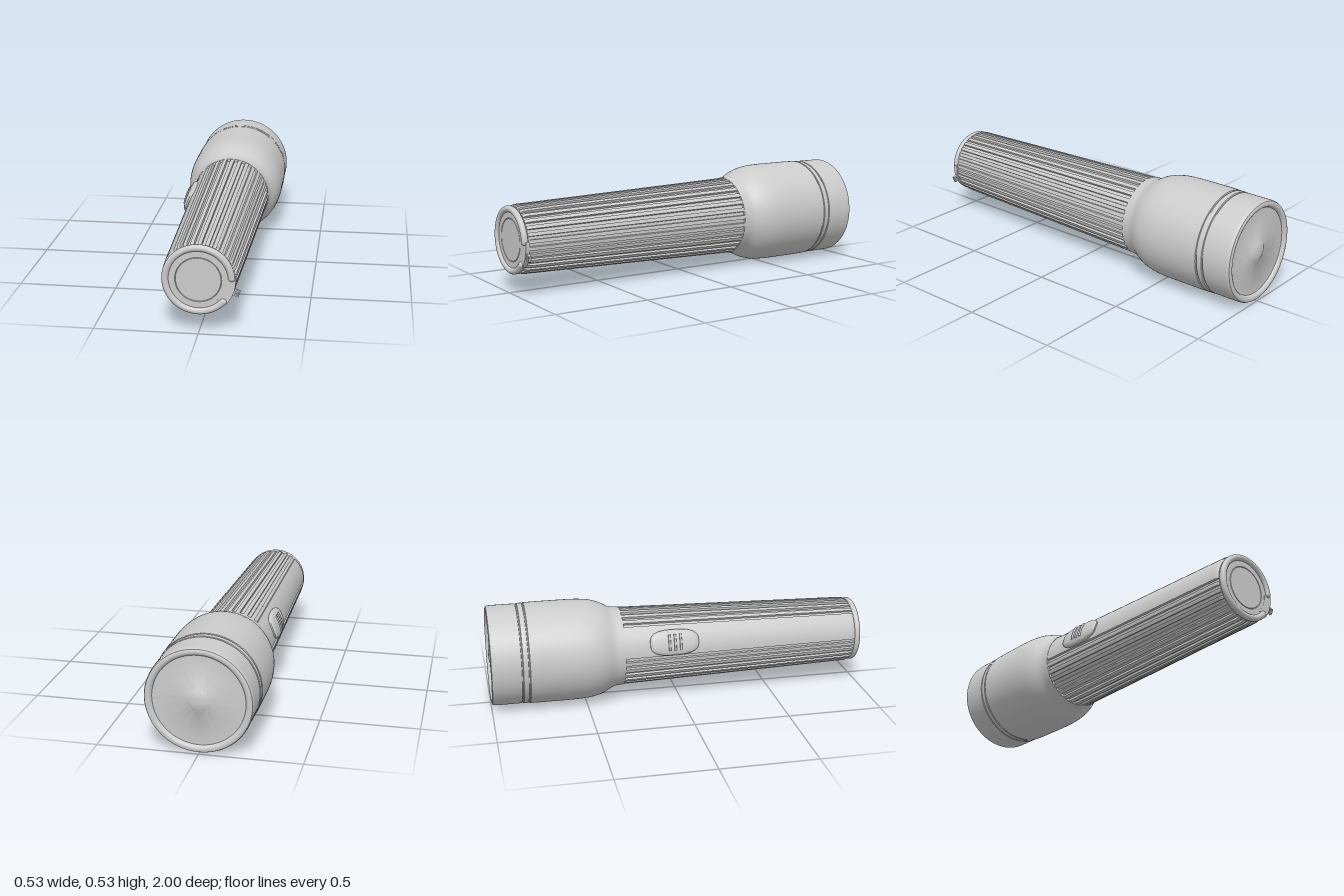
import * as THREE from 'three';
import { toCreasedNormals } from 'three/addons/utils/BufferGeometryUtils.js';
import { ParametricGeometry } from 'three/addons/geometries/ParametricGeometry.js';

const rad = THREE.MathUtils.degToRad;
const material = new THREE.MeshStandardMaterial({ color: 0xcccccc, side: THREE.DoubleSide });

// Handle radius along its taper
const handleRadius = (z) => 0.2073 - (z + 0.3) * 0.0253;

function part(name, geometry) {
  const mesh = new THREE.Mesh(geometry, material);
  mesh.name = name;
  return mesh;
}

// Lathe around the z axis from [radius, z] pairs, ordered from the lens to the tail
function turned(name, pairs, segments = 96) {
  const g = new THREE.LatheGeometry(pairs.map(([r, z]) => new THREE.Vector2(r, z)), segments);
  g.rotateX(Math.PI / 2);
  return part(name, toCreasedNormals(g, 0.6));
}

// Tapered grip with raised ribs, and a plain strip under the switch
function gripGeometry() {
  const outline = [];
  const ribs = 27, stripStart = 138, stripEnd = 180;
  const pitch = (360 - (stripEnd - stripStart)) / ribs;
  for (let i = 0; i < ribs; i++) {
    const a = stripEnd + i * pitch;
    outline.push([a, 0], [a + pitch * 0.04, 0.012], [a + pitch * 0.46, 0.012],
      [a + pitch * 0.5, 0], [a + pitch * 0.75, 0]);
  }
  for (let i = 0; i < 8; i++) outline.push([stripStart + i * (stripEnd - stripStart) / 8, 0]);

  const sections = [[-0.31, 0], [0.945, 0], [0.96, 0.003], [0.967, 0.008]];
  const n = outline.length, positions = [], index = [];
  for (const [z, inset] of sections) {
    for (const [a, depth] of outline) {
      const r = handleRadius(z) - Math.max(depth, inset);
      positions.push(r * Math.cos(rad(a)), r * Math.sin(rad(a)), z);
    }
  }
  for (let s = 0; s < sections.length - 1; s++) {
    for (let i = 0; i < n; i++) {
      const a = s * n + i, b = s * n + (i + 1) % n;
      index.push(a, b, b + n, a, b + n, a + n);
    }
  }
  // Close the tail end
  const last = (sections.length - 1) * n;
  positions.push(0, 0, 0.967);
  for (let i = 0; i < n; i++) index.push(last + i, last + (i + 1) % n, last + n);
  const g = new THREE.BufferGeometry();
  g.setAttribute('position', new THREE.Float32BufferAttribute(positions, 3));
  g.setIndex(index);
  return toCreasedNormals(g, 0.5);
}

// Rounded pad wrapped onto the handle: [scale, height] steps from rim to middle
function switchPadGeometry() {
  const steps = [[1, -0.01], [1, 0.007], [0.97, 0.012], [0.9, 0.016], [0.78, 0.019],
    [0.6, 0.021], [0.4, 0.022], [0.2, 0.022], [0.001, 0.022]];
  const power = (c) => Math.sign(c) * Math.pow(Math.abs(c), 0.7);
  const g = new ParametricGeometry((u, v, target) => {
    const [scale, height] = steps[Math.round(v * (steps.length - 1))];
    const t = u * Math.PI * 2;
    const z = -0.04 + 0.13 * scale * power(Math.sin(t));
    const a = rad(160 + 19 * scale * power(Math.cos(t)));
    const r = handleRadius(z) + height;
    target.set(r * Math.cos(a), r * Math.sin(a), z);
  }, 48, steps.length - 1);
  return toCreasedNormals(g, 0.6);
}

export function createModel() {
  const model = new THREE.Group();
  model.name = 'flashlight';
  const body = new THREE.Group();
  body.name = 'body';
  body.position.y = 0.267;
  model.add(body);

  // Lens with a small central dome
  body.add(turned('lens', [
    [0, -0.998], [0.02, -0.997], [0.038, -0.994], [0.052, -0.989], [0.06, -0.984], [0.228, -0.984],
  ]));

  // Bezel, grooved band and flared head
  body.add(turned('head', [
    [0.224, -0.98], [0.226, -0.988], [0.232, -0.996], [0.24, -1], [0.25, -1], [0.258, -0.996],
    [0.262, -0.988], [0.263, -0.975], [0.263, -0.845], [0.258, -0.843], [0.258, -0.838],
    [0.264, -0.836], [0.265, -0.81], [0.26, -0.808], [0.26, -0.803], [0.266, -0.801],
    [0.267, -0.74], [0.267, -0.58], [0.266, -0.53], [0.263, -0.49], [0.258, -0.455],
    [0.25, -0.425], [0.24, -0.4], [0.227, -0.376], [0.218, -0.36], [0.213, -0.345],
    [0.211, -0.33], [0.2085, -0.3], [0.17, -0.3],
  ]));

  body.add(part('grip', gripGeometry()));

  // Slide switch with three thumb ridges
  const slide = new THREE.Group();
  slide.name = 'switch';
  slide.add(part('switchPad', switchPadGeometry()));
  for (const z of [-0.07, -0.04, -0.01]) {
    const ridge = new THREE.TorusGeometry(handleRadius(z) + 0.023, 0.006, 8, 16, rad(22));
    ridge.rotateZ(rad(149)).translate(0, 0, z);
    slide.add(part('switchRidge', ridge));
  }
  body.add(slide);

  // Tail cap: flat plate with a shallow centre disc
  body.add(turned('tailPlate', [
    [0.158, 0.962], [0.158, 0.986], [0.11, 0.986], [0.108, 0.982], [0.106, 0.986], [0, 0.986],
  ]));

  // Rounded tail ring, open where the tab sits
  const ringStart = 5, ringEnd = 318;
  const ring = new THREE.TorusGeometry(0.156, 0.0165, 16, 80, rad(ringEnd - ringStart));
  ring.rotateZ(rad(ringStart)).translate(0, 0, 0.9835);
  body.add(part('tailRing', ring));
  for (const a of [ringStart, ringEnd]) {
    const end = new THREE.SphereGeometry(0.0165, 16, 12);
    end.translate(0.156 * Math.cos(rad(a)), 0.156 * Math.sin(rad(a)), 0.9835);
    body.add(part('tailRingEnd', end));
  }

  // Flat tab filling the gap in the ring
  const tabShape = new THREE.Shape();
  tabShape.absarc(0, 0, 0.175, rad(-42), rad(5), false);
  tabShape.absarc(0, 0, 0.13, rad(8), rad(-48), true);
  const tab = new THREE.ExtrudeGeometry(tabShape, { depth: 0.022, bevelEnabled: false, curveSegments: 20 });
  tab.translate(0, 0, 0.965);
  body.add(part('tailTab', toCreasedNormals(tab, 0.5)));

  // Lanyard lug with a square hole
  const lugShape = new THREE.Shape([[-0.02, -0.016], [0.014, -0.016], [0.014, 0.016], [-0.02, 0.016]]
    .map(([x, y]) => new THREE.Vector2(x, y)));
  lugShape.holes.push(new THREE.Path([[-0.007, -0.008], [-0.007, 0.008], [0.008, 0.008], [0.008, -0.008]]
    .map(([x, y]) => new THREE.Vector2(x, y))));
  const lug = new THREE.ExtrudeGeometry(lugShape, { depth: 0.014, bevelEnabled: false });
  lug.translate(0.188, 0, 0.967).rotateZ(rad(-19));
  body.add(part('lanyardLug', lug));

  return model;
}
